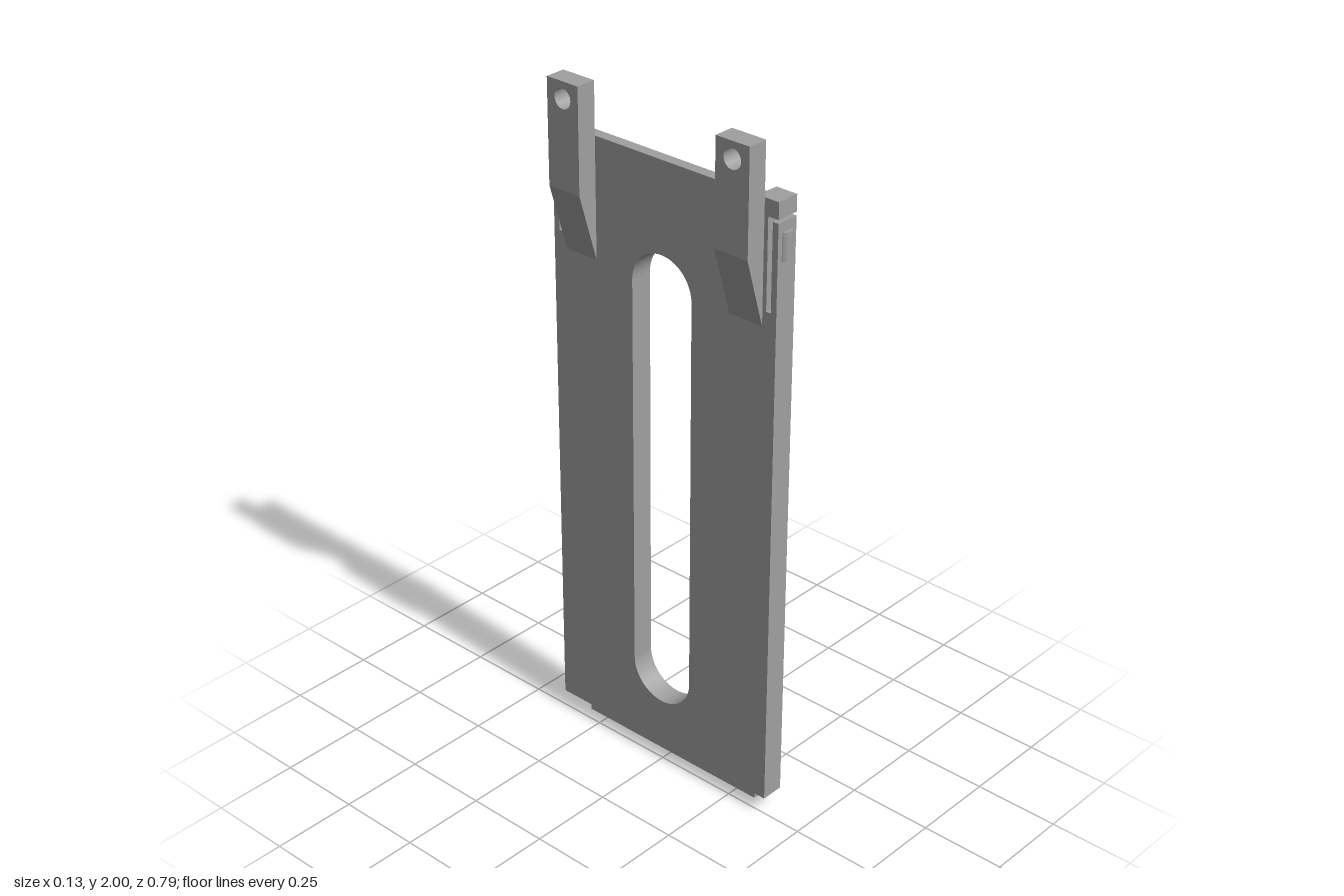
import * as THREE from 'three';

const BACK = -0.005, MID = 0.028, FRONT = 0.063; // x levels of the plate
const HALF = 0.383, RECESS = 0.317;

// Extrude a (z, y) shape along x between two levels
function slab(shape, x0, x1) {
  const g = new THREE.ExtrudeGeometry(shape, { depth: x1 - x0, bevelEnabled: false, curveSegments: 24 });
  g.rotateY(Math.PI / 2);
  g.translate(x0, 0, 0);
  return g;
}

// Plate outline with the L-shaped cuts that free the spring arms
function plateShape(recessed) {
  const side = [
    [HALF, 0.055], [HALF, 1.793], [0.365, 1.793], [0.365, 1.545],
    [0.35, 1.545], [0.35, 1.803], [HALF, 1.803], [HALF, 1.85],
  ];
  if (recessed) side.push([RECESS, 1.85], [RECESS, 1.8]);
  const mirrored = side.map(([z, y]) => [-z, y]).reverse();
  const shape = new THREE.Shape([...side, ...mirrored].map(p => new THREE.Vector2(...p)));
  // Long rounded window
  const hole = new THREE.Path();
  hole.absarc(0, 1.484, 0.103, 0, Math.PI, false);
  hole.absarc(0, 0.303, 0.103, Math.PI, Math.PI * 2, false);
  hole.closePath();
  shape.holes.push(hole);
  return shape;
}

// Hanging lug: drilled bar whose lower back edge is raised into a taper
function lugGeometry() {
  const w = 0.054;
  const shape = new THREE.Shape([[-w, 1.5], [w, 1.5], [w, 2], [-w, 2]].map(p => new THREE.Vector2(...p)));
  const hole = new THREE.Path();
  hole.absarc(0, 1.953, 0.028, 0, Math.PI * 2, true);
  shape.holes.push(hole);
  const g = slab(shape, -0.065, BACK);
  const p = g.attributes.position;
  for (let i = 0; i < p.count; i++) {
    if (p.getX(i) < -0.06 && p.getY(i) < 1.51) p.setY(i, 1.7);
  }
  g.computeVertexNormals();
  return g;
}

// Snap bump: circular segment bulging toward +z, standing along y
function bumpGeometry() {
  const r = 0.021, a = Math.asin(0.019 / r);
  const shape = new THREE.Shape();
  shape.absarc(0, r * Math.cos(a), r, -Math.PI / 2 - a, -Math.PI / 2 + a, false);
  shape.closePath();
  const g = new THREE.ExtrudeGeometry(shape, { depth: 0.08, bevelEnabled: false, curveSegments: 16 });
  // Drop the arc centre onto the chord, then stand the extrusion upright
  g.translate(0, -r * Math.cos(a) + r * Math.cos(a), 0);
  g.rotateX(-Math.PI / 2);
  return g;
}

export function createModel() {
  const model = new THREE.Group();
  const grey = new THREE.MeshStandardMaterial({ color: 0xa0a0a0 });
  grey.name = 'grey';
  const add = (name, geometry, x = 0, y = 0, z = 0) => {
    const mesh = new THREE.Mesh(geometry, grey);
    mesh.name = name;
    mesh.position.set(x, y, z);
    model.add(mesh);
    return mesh;
  };

  // Plate in two layers, the outer one with the top recess
  add('plateInner', slab(plateShape(false), BACK, MID));
  add('plateOuter', slab(plateShape(true), MID, FRONT));

  // Tongue along the bottom edge
  add('bottomTongue', new THREE.BoxGeometry(0.029, 0.055, 0.63), 0.0485, 0.0275, 0);

  // Lugs and snap bumps on both ends
  for (const s of [1, -1]) {
    add('lug', lugGeometry(), 0, 0, s * 0.284);
    const bump = add('snapBump', bumpGeometry(), 0.029, 1.685, s * HALF);
    if (s < 0) bump.rotation.y = Math.PI;
  }
  return model;
}
